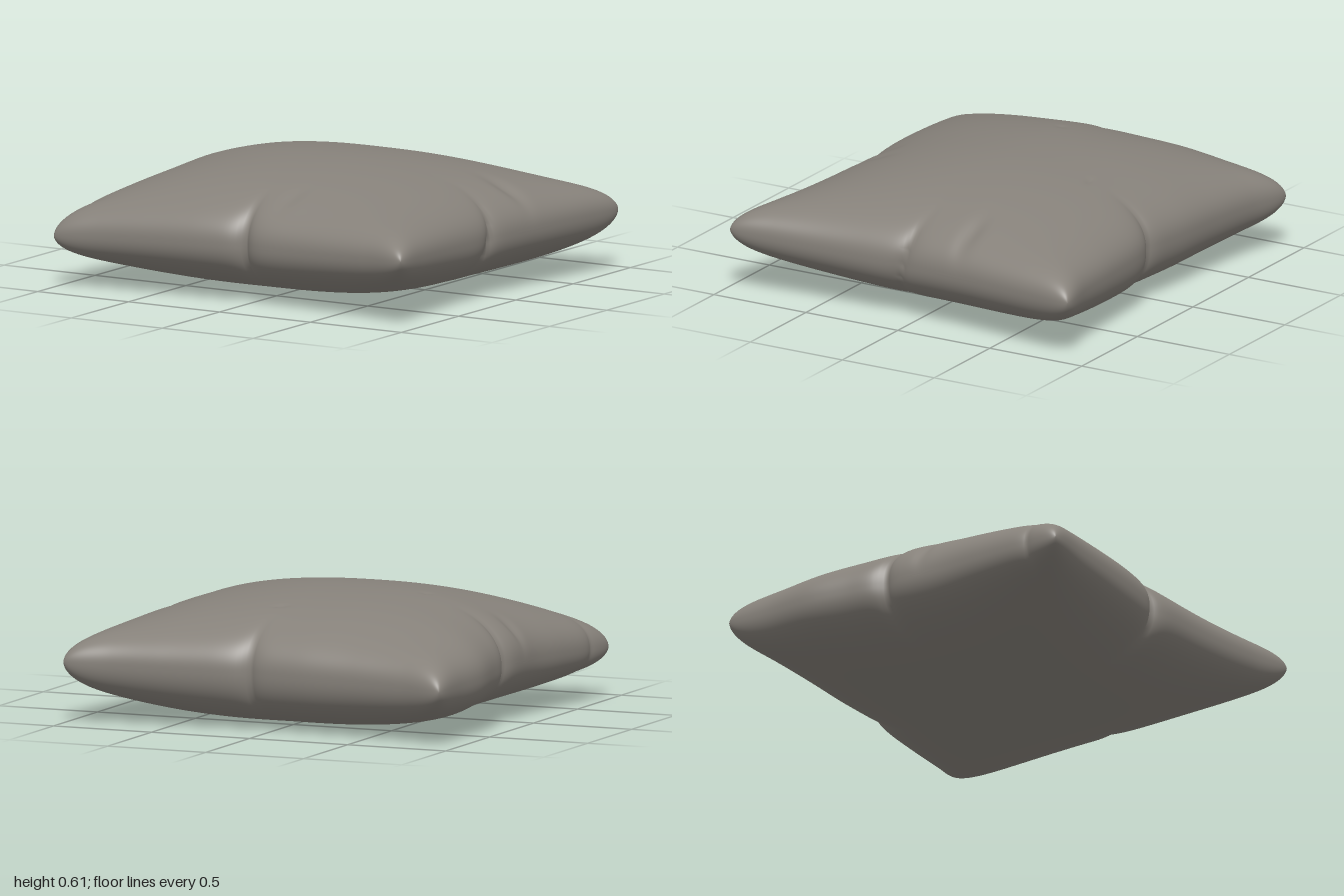
import * as THREE from 'three';
import { mergeVertices } from 'three/addons/utils/BufferGeometryUtils.js';

const SEGMENTS = 150;
const SEAM_Y = 0.28;

// Smooth curve through values evenly spaced over -1..1
function profile(values) {
  const curve = new THREE.SplineCurve(values.map((v, i) => new THREE.Vector2(i, v)));
  return (s) => curve.getPoint((s + 1) / 2).y;
}

// Outline of the pillow, one profile per side
const back = profile([-0.96, -0.9, -0.87, -0.855, -0.838, -0.855, -0.87, -0.89, -0.935]);
const front = profile([0.895, 0.87, 0.855, 0.842, 0.825, 0.835, 0.86, 0.9, 0.955]);
const left = profile([1.005, 0.98, 0.95, 0.92, 0.9, 0.905, 0.92, 0.945, 0.975]);
const right = profile([-0.96, -0.955, -0.965, -0.935, -0.925, -0.925, -0.955, -0.985, -1.01]);

// Shallow dents in the upper face: x, z, radius x, radius z, depth
const dents = [
  [0.78, -0.27, 0.11, 0.045, 0.02],
  [-0.86, 0.08, 0.07, 0.035, 0.02],
  [0.16, 0.62, 0.04, 0.08, 0.008],
  [0.07, -0.48, 0.03, 0.012, 0.008],
  [-0.46, -0.01, 0.02, 0.02, 0.007],
];

// Height of the padding across the pillow; a lower power slopes sooner
const fullness = (s, power) => Math.pow(Math.max(0, 1 - Math.abs(s) ** power), 0.43);

// Extra padding pushed into the four corners
const cornerFill = (u, v) =>
  0.4 * (u * v) ** 4 * Math.sqrt(Math.max(0, (1 - u ** 6) * (1 - v ** 6)));

const topPuff = (u, v) =>
  fullness(u, u < 0 ? 2.5 : 2) * fullness(v, v < 0 ? 1.9 : 1.8) + cornerFill(u, v);

const bottomPuff = (u, v) =>
  fullness(u, 2.6) * fullness(v, v < 0 ? 4 : 2.4) + cornerFill(u, v);

// Seam height, blended from the four corners
function seamHeight(u, v) {
  const tilt = 0.025 * u + 0.003 * v + 0.012 * u * v;
  return SEAM_Y + tilt * Math.abs(u * v);
}

// Sharp inward tuck that fades away from its edge
function tuck(along, across, centre, depth) {
  const fade = Math.min(1, Math.max(0, (across - 0.68) / 0.32));
  return depth * fade * Math.exp(-Math.abs(along - centre) / 0.045);
}

// One padded face; side is 1 for the top and -1 for the bottom
function paddedFace(side) {
  const plane = new THREE.PlaneGeometry(2, 2, SEGMENTS, SEGMENTS);
  plane.rotateX(-side * Math.PI / 2);
  const pos = plane.attributes.position;
  for (let i = 0; i < pos.count; i++) {
    // Crowd the rows towards the seam so the rim stays round
    const u = Math.sin(pos.getX(i) * Math.PI / 2);
    const v = Math.sin(pos.getZ(i) * Math.PI / 2);
    const puff = side > 0 ? topPuff(u, v) : bottomPuff(u, v);
    let x = THREE.MathUtils.lerp(right(v), left(v), (u + 1) / 2);
    let z = THREE.MathUtils.lerp(back(u), front(u), (v + 1) / 2);

    // Softened corners
    const corner = 1 - 0.02 * Math.abs(u * v) ** 20;
    x *= corner;
    z *= corner;

    // Tucks in the four sides, and a small fold beside one corner
    const lean = side * puff * 0.09;
    z -= tuck(u, v, 0.02, 0.06);
    z += tuck(u, -v, 0.065, 0.045);
    x -= tuck(v, u, 0.04 - lean, 0.035);
    x += tuck(v, -u, -0.09, 0.055);
    x += tuck(v, -u, 0.8, 0.02);

    let y = seamHeight(u, v);
    if (side > 0) {
      y += 0.325 * puff;
      for (const [dx, dz, rx, rz, depth] of dents) {
        y -= depth * Math.exp(-(((x - dx) / rx) ** 2) - ((z - dz) / rz) ** 2);
      }
    } else {
      y -= SEAM_Y * puff;
    }
    pos.setXYZ(i, x, y, z);
  }
  return plane;
}

// Join both faces along the seam into one smooth skin
function pillowGeometry() {
  const positions = [];
  const index = [];
  for (const face of [paddedFace(1), paddedFace(-1)]) {
    const offset = positions.length / 3;
    for (const p of face.attributes.position.array) positions.push(p);
    for (const k of face.index.array) index.push(k + offset);
  }
  const geometry = new THREE.BufferGeometry();
  geometry.setAttribute('position', new THREE.Float32BufferAttribute(positions, 3));
  geometry.setIndex(index);
  const skin = mergeVertices(geometry, 1e-5);

  // Rest on the ground, centred
  skin.computeBoundingBox();
  const { min, max } = skin.boundingBox;
  skin.translate(-(min.x + max.x) / 2, -min.y, -(min.z + max.z) / 2);
  skin.computeVertexNormals();
  return skin;
}

export function createModel() {
  const fabric = new THREE.MeshStandardMaterial({ color: 0x86817a });
  fabric.name = 'taupe fabric';

  const pillow = new THREE.Mesh(pillowGeometry(), fabric);
  pillow.name = 'pillow';

  const group = new THREE.Group();
  group.name = 'squarePillow';
  group.add(pillow);
  return group;
}
